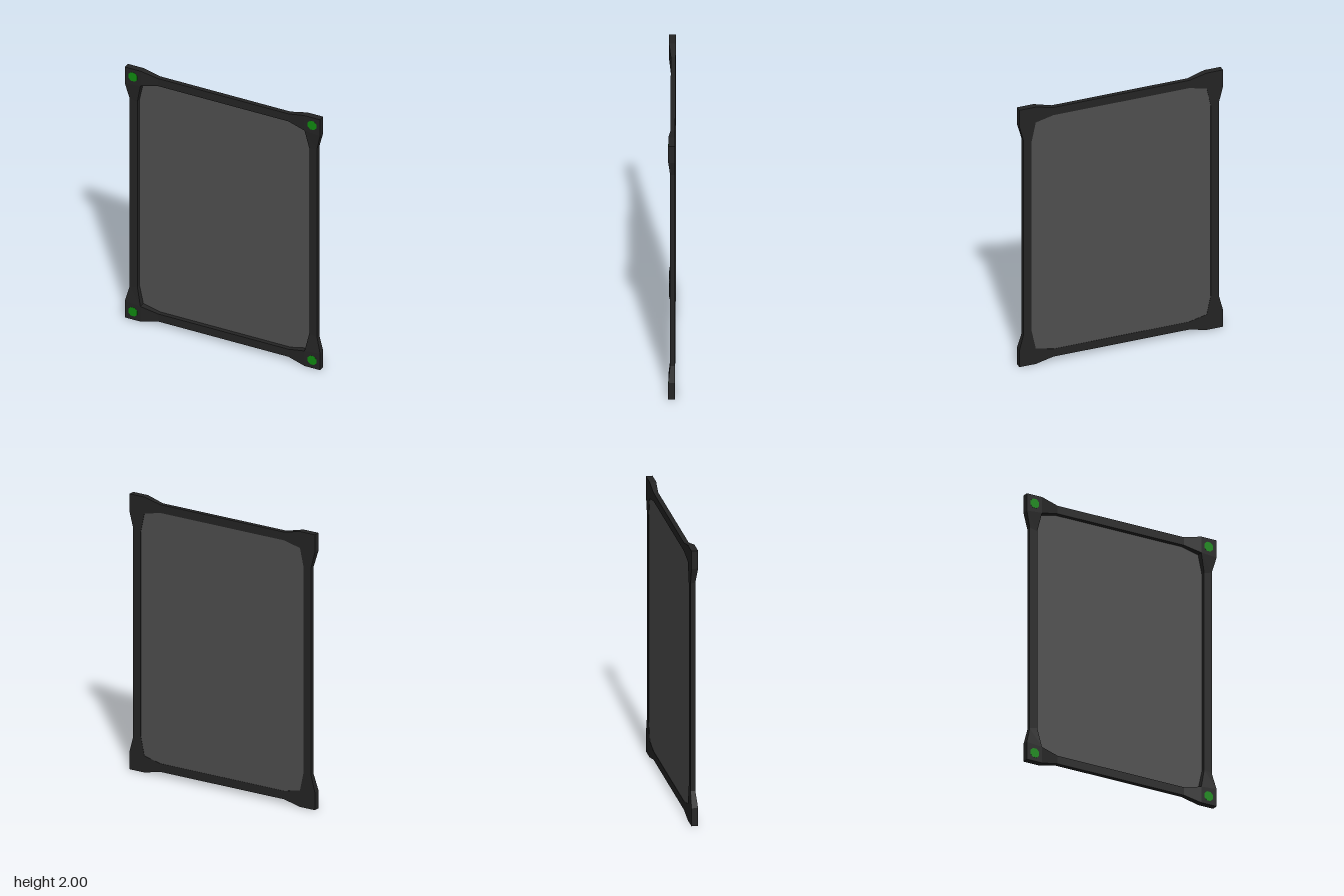
import * as THREE from 'three';

const BACK = -0.023, LOW = 0.01, HIGH = 0.023;

// One corner, from side rail to top rail: outer x, outer y, inner x, inner y, front z
const CORNER = [
  [0.72, 0.755, 0.66, 0.74, LOW],
  [0.75, 0.87, 0.63, 0.88, HIGH],
  [0.75, 1, 0.63, 0.88, HIGH],
  [0.63, 1, 0.63, 0.88, HIGH],
  [0.5, 0.97, 0.5, 0.91, LOW],
];

// Mirror the corner into all four quadrants, running counterclockwise
function ringSections() {
  const sections = [];
  for (const [sx, sy] of [[1, 1], [-1, 1], [-1, -1], [1, -1]]) {
    const corner = CORNER.map(([ox, oy, ix, iy, z]) => [ox * sx, 1 + oy * sy, ix * sx, 1 + iy * sy, z]);
    if (sx * sy < 0) corner.reverse();
    sections.push(...corner);
  }
  return sections;
}

// Skin the four-sided cross-sections into a closed ring
function frameGeometry(sections) {
  const loops = sections.map(([ox, oy, ix, iy, z]) => [
    new THREE.Vector3(ox, oy, z), new THREE.Vector3(ix, iy, z),
    new THREE.Vector3(ix, iy, BACK), new THREE.Vector3(ox, oy, BACK),
  ]);
  const points = [];
  const addTriangle = (a, b, c) => {
    if (!a.equals(b) && !b.equals(c) && !c.equals(a)) points.push(a, b, c);
  };
  loops.forEach((a, i) => {
    const b = loops[(i + 1) % loops.length];
    for (let k = 0; k < 4; k++) {
      const n = (k + 1) % 4;
      addTriangle(a[k], b[k], b[n]);
      addTriangle(a[k], b[n], a[n]);
    }
  });
  const geometry = new THREE.BufferGeometry().setFromPoints(points);
  geometry.computeVertexNormals();
  return geometry;
}

export function createModel() {
  const frameMaterial = new THREE.MeshStandardMaterial({ name: 'frame black', color: 0x242424, flatShading: true });
  const panelMaterial = new THREE.MeshStandardMaterial({ name: 'panel grey', color: 0x4e4e4e, side: THREE.DoubleSide });
  const studMaterial = new THREE.MeshStandardMaterial({ name: 'stud green', color: 0x108a10, flatShading: true });

  const model = new THREE.Group();
  model.name = 'framedPanel';
  const add = (name, geometry, material) => {
    const mesh = new THREE.Mesh(geometry, material);
    mesh.name = name;
    model.add(mesh);
    return mesh;
  };

  // Frame with thickened corners
  const sections = ringSections();
  add('frame', frameGeometry(sections), frameMaterial);

  // Panel filling the opening near the back
  const opening = new THREE.Shape(sections.map(([, , ix, iy]) => new THREE.Vector2(ix, iy))
    .filter((p, i, all) => i === 0 || !p.equals(all[i - 1])));
  add('panel', new THREE.ShapeGeometry(opening), panelMaterial).position.z = -0.021;

  // Octagonal studs in the corners
  const studGeometry = new THREE.CylinderGeometry(0.037, 0.037, 0.004, 8, 1, false, Math.PI / 8).rotateX(Math.PI / 2);
  for (const sx of [1, -1]) {
    for (const sy of [1, -1]) {
      const name = (sy > 0 ? 'top' : 'bottom') + (sx > 0 ? 'Left' : 'Right') + 'Stud';
      add(name, studGeometry, studMaterial).position.set(sx * 0.688, 1 + sy * 0.938, HIGH - 0.001);
    }
  }
  return model;
}
